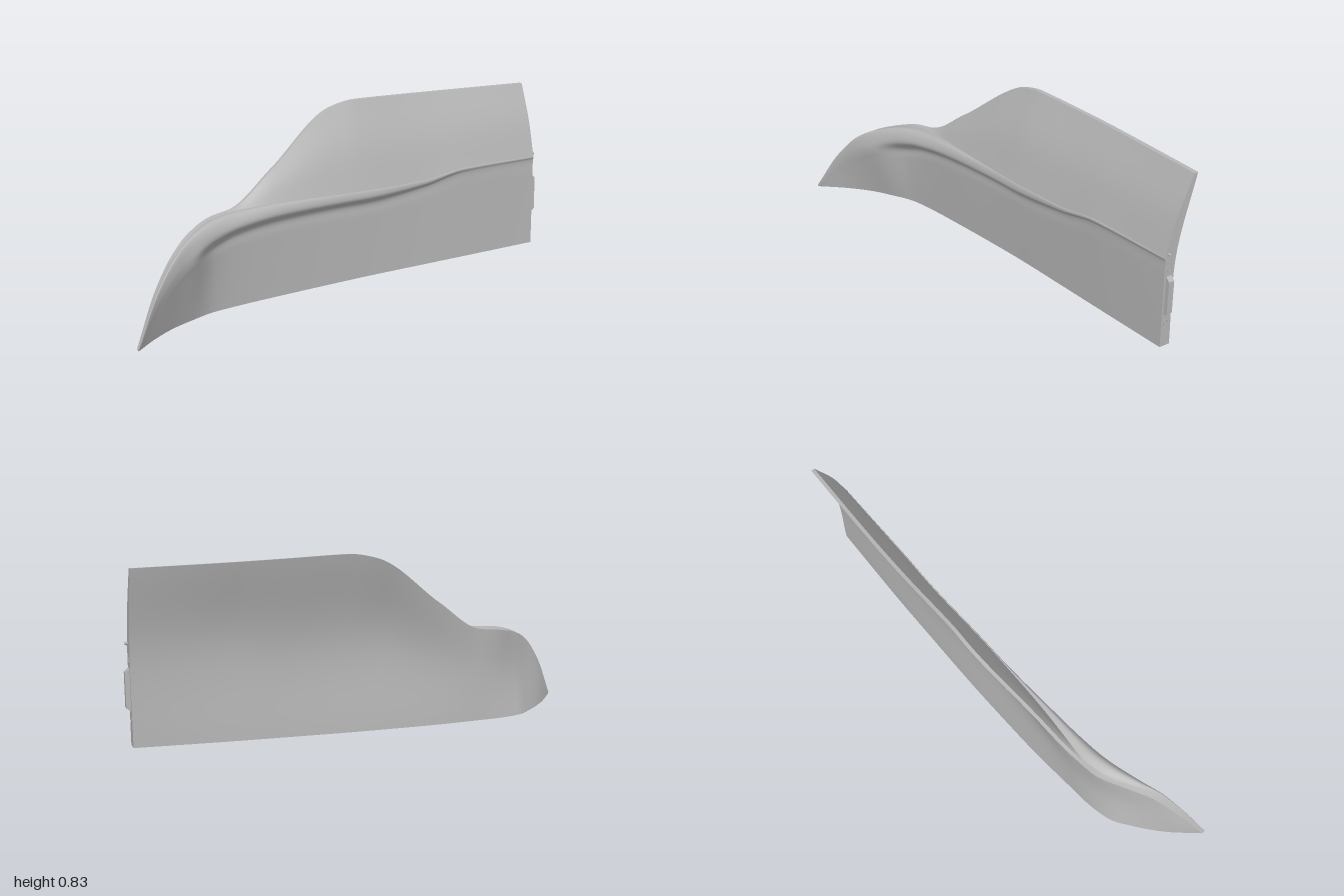
import * as THREE from 'three';

// Stations along the panel, from the pointed tip to the flat joint end
const X = [-1, -0.9, -0.8, -0.72, -0.6, -0.5, -0.3, 0, 0.12, 0.4, 0.6, 0.98];

// Front skin per station: z bottom, y/z under the lip, y/z lip, y/z ridge
const FRONT = [
  [0.262, 0.008, 0.265, 0.01, 0.265, 0.012, 0.265],
  [0.16, 0.12, 0.19, 0.16, 0.2, 0.2, 0.2],
  [0.08, 0.22, 0.145, 0.265, 0.152, 0.32, 0.142],
  [0.035, 0.27, 0.11, 0.31, 0.112, 0.37, 0.09],
  [-0.02, 0.305, 0.015, 0.35, 0.055, 0.41, 0.03],
  [-0.04, 0.335, -0.015, 0.375, 0.025, 0.425, 0],
  [-0.065, 0.365, -0.045, 0.4, -0.012, 0.44, -0.025],
  [-0.095, 0.385, -0.08, 0.415, -0.052, 0.447, -0.058],
  [-0.105, 0.39, -0.09, 0.42, -0.063, 0.45, -0.068],
  [-0.12, 0.43, -0.11, 0.448, -0.095, 0.463, -0.096],
  [-0.13, 0.475, -0.12, 0.49, -0.113, 0.497, -0.115],
  [-0.15, 0.5, -0.147, 0.51, -0.143, 0.515, -0.144],
];

// Upper panel and back per station: z panel base, y/z top edge, z back middle, z back bottom
const BACK = [
  [0.262, 0.013, 0.262, 0.25, 0.25],
  [0.19, 0.201, 0.185, 0.145, 0.125],
  [0.13, 0.321, 0.115, 0.075, 0.03],
  [0.06, 0.371, 0.05, 0.02, -0.03],
  [-0.02, 0.411, -0.03, -0.04, -0.065],
  [-0.045, 0.43, -0.055, -0.065, -0.08],
  [-0.047, 0.57, -0.108, -0.085, -0.11],
  [-0.062, 0.79, -0.19, -0.11, -0.14],
  [-0.071, 0.815, -0.2, -0.122, -0.15],
  [-0.1, 0.82, -0.227, -0.15, -0.168],
  [-0.118, 0.823, -0.24, -0.166, -0.18],
  [-0.145, 0.83, -0.255, -0.197, -0.195],
];

// Smooth, non-overshooting interpolation of one table column
function sample(table, col, x) {
  let i = 0;
  while (i < X.length - 2 && x > X[i + 1]) i++;
  const slope = (k) => (table[k + 1][col] - table[k][col]) / (X[k + 1] - X[k]);
  const tangent = (k) => {
    if (k === 0) return slope(0);
    if (k === X.length - 1) return slope(k - 1);
    const a = slope(k - 1), b = slope(k);
    return a * b <= 0 ? 0 : (2 * a * b) / (a + b);
  };
  const h = X[i + 1] - X[i], t = (x - X[i]) / h, t2 = t * t, t3 = t2 * t;
  return (2 * t3 - 3 * t2 + 1) * table[i][col] + (t3 - 2 * t2 + t) * h * tangent(i)
    + (3 * t2 - 2 * t3) * table[i + 1][col] + (t3 - t2) * h * tangent(i + 1);
}

// Points of a curve through [z, y] pairs
function spline(x, pts, steps) {
  const v = pts.map(([z, y]) => new THREE.Vector3(x, y, z));
  return new THREE.CatmullRomCurve3(v, false, 'centripetal').getPoints(steps * (pts.length - 1));
}

// Cross-section at x, as separate runs so that edges between them stay sharp
function section(x) {
  const [zB, yU, zU, yL, zL, yR, zR] = FRONT[0].map((_, c) => sample(FRONT, c, x));
  const [zP, yT, zT, zM, zK] = BACK[0].map((_, c) => sample(BACK, c, x));
  const yB = 0.005 + 0.058 * (x + 1);
  const mix = THREE.MathUtils.lerp;
  const wall = [0, 0.3, 0.6, 0.85].map((t) => [mix(zB, zU, t), mix(yB, yU, t)]);
  const panelMid = [(zP + zT) / 2 + Math.max(0, yT - yR) * 0.035, (yR + yT) / 2];
  const zE = zT - 0.015, yM = Math.min(yR, mix(yB, yT, 0.55));
  const depth = 0.02 * THREE.MathUtils.smoothstep(x, -0.6, -0.5)
    * (1 - THREE.MathUtils.smoothstep(x, 0.9, 0.94));
  const bottom = [[0, 0], [0.22, 0], [0.25, 1], [0.75, 1], [0.78, 0], [1, 0]]
    .map(([t, d]) => new THREE.Vector3(x, yB + d * depth, mix(zK, zB, t)));
  return {
    frontWallAndLip: spline(x, [...wall, [zU, yU], [zL, yL], [zR, yR], [zP, yR]], 5),
    upperPanel: spline(x, [[zP, yR], panelMid, [zT, yT]], 6),
    topEdge: [new THREE.Vector3(x, yT, zT), new THREE.Vector3(x, yT + 0.002, zE)],
    backSkin: spline(x, [[zE, yT + 0.002], [zM, yM], [zK, yB]], 10),
    bottomRail: bottom,
  };
}

// Skin between matching runs of points
function loft(rows) {
  const n = rows[0].length, index = [];
  for (let i = 0; i < rows.length - 1; i++) {
    for (let j = 0; j < n - 1; j++) {
      const a = i * n + j, b = a + n;
      index.push(a, b, b + 1, a, b + 1, a + 1);
    }
  }
  const geo = new THREE.BufferGeometry().setFromPoints(rows.flat());
  geo.setIndex(index);
  geo.computeVertexNormals();
  return geo;
}

export function createModel() {
  const group = new THREE.Group();
  const grey = new THREE.MeshStandardMaterial({ color: 0xb4b4b4, side: THREE.DoubleSide });
  grey.name = 'light grey';
  const add = (name, geo, x = 0, y = 0, z = 0) => {
    const mesh = new THREE.Mesh(geo, grey);
    mesh.name = name;
    mesh.position.set(x, y, z);
    group.add(mesh);
    return mesh;
  };

  // Curved shell
  const N = 132, end = 0.98, sections = [];
  for (let i = 0; i <= N; i++) sections.push(section(-1 + ((end + 1) * i) / N));
  for (const name of Object.keys(sections[0])) add(name, loft(sections.map((s) => s[name])));

  // Flat caps at the joint end and at the tip
  for (const [name, s, x] of [['jointFace', sections[N], end], ['tipCap', sections[0], -1]]) {
    const outline = Object.values(s).flatMap((run) => run.slice(0, -1));
    const shape = new THREE.Shape(outline.map((p) => new THREE.Vector2(-p.z, p.y)));
    add(name, new THREE.ShapeGeometry(shape).rotateY(Math.PI / 2), x);
  }

  // Locating tongue with bevelled ends
  const tongue = new THREE.Shape([[-0.085, 0], [0.085, 0], [0.07, 0.018], [-0.07, 0.018]]
    .map(([a, b]) => new THREE.Vector2(b, a)));
  add('jointTongue', new THREE.ExtrudeGeometry(tongue, { depth: 0.024, bevelEnabled: false }), end, 0.345, -0.181);

  // Bolt rings and the small pin on the joint face
  for (const y of [0.225, 0.46]) {
    add('boltRing', new THREE.TorusGeometry(0.01, 0.0015, 6, 24).rotateY(Math.PI / 2), end, y, -0.17);
  }
  add('jointPin', new THREE.CylinderGeometry(0.006, 0.006, 0.012, 16).rotateZ(Math.PI / 2), end + 0.005, 0.525, -0.162);

  // Ribs dividing the groove under the rail
  for (const x of [-0.3, 0.1, 0.5, 0.8]) {
    const z = (sample(FRONT, 0, x) + sample(BACK, 4, x)) / 2;
    add('railRib', new THREE.BoxGeometry(0.03, 0.02, 0.024), x, 0.016 + 0.058 * (x + 1), z);
  }
  return group;
}
